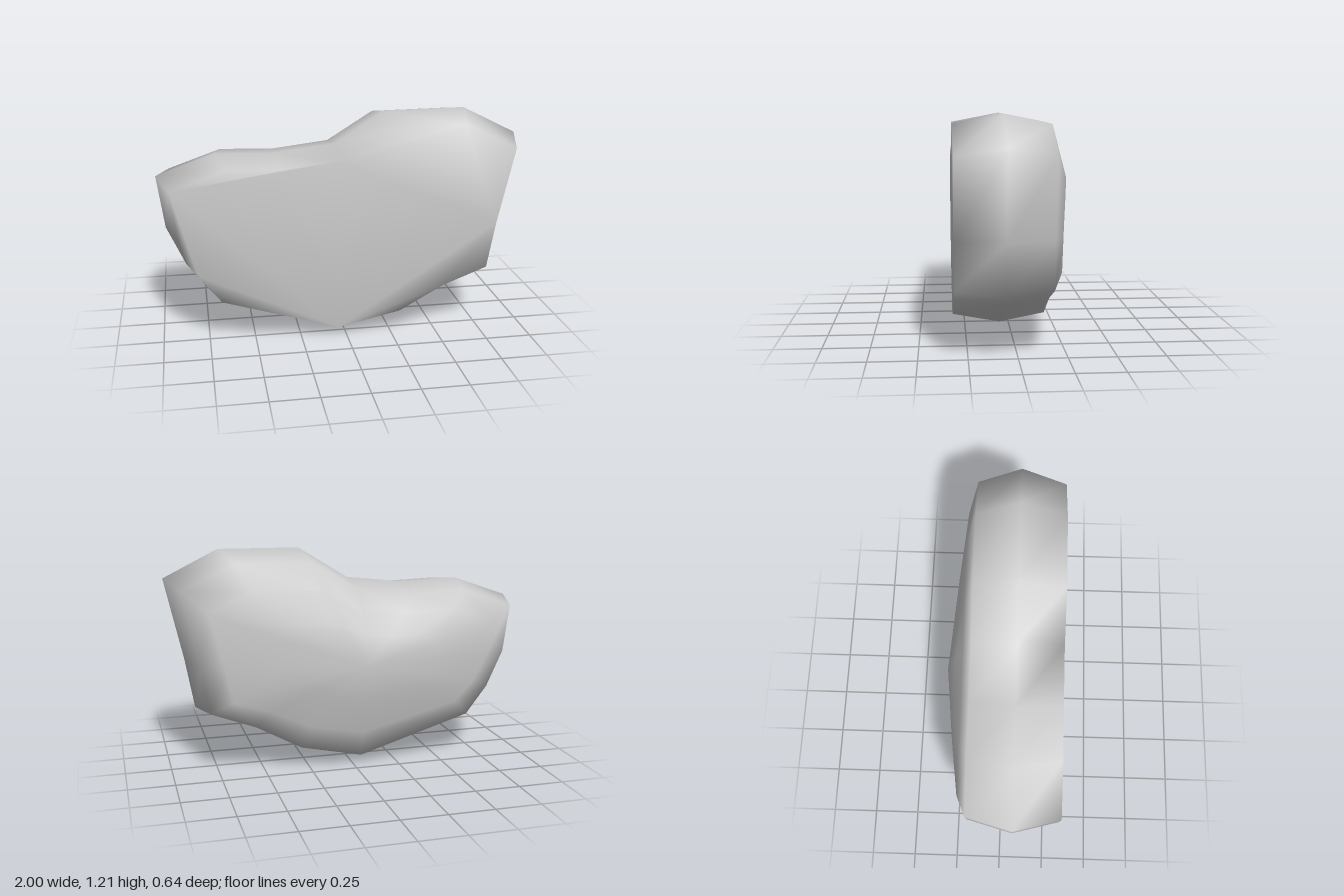
import * as THREE from 'three';

// Widest outline, counter-clockwise as seen from the front
const OUTLINE = [
  [-1, 0.89], [-0.96, 0.6], [-0.86, 0.38], [-0.73, 0.21], [-0.05, 0], [0.32, 0.08],
  [0.59, 0.23], [0.85, 0.33], [0.9, 0.61], [1, 1.06], [0.7, 1.21], [0.25, 1.205],
  [-0.03, 1.03], [-0.37, 0.99], [-0.69, 1.0],
];

// Cross-sections from the flat front to the domed back
const RINGS = [
  { z: 0.32, sx: 0.93, sy: 0.92, cx: 0 },
  { z: 0.07, sx: 1, sy: 1, cx: 0 },
  { z: -0.175, sx: 0.93, sy: 0.92, cx: 0 },
  { z: -0.225, sx: 0.8, sy: 0.67, cx: -0.03 },
  { z: -0.27, sx: 0.46, sy: 0.36, cx: -0.04 },
];
const CENTRE_Y = 0.6;

function rockGeometry() {
  const n = OUTLINE.length;
  const positions = [];
  const index = [];
  for (const { z, sx, sy, cx } of RINGS) {
    for (const [x, y] of OUTLINE) {
      positions.push(cx + (x - cx) * sx, CENTRE_Y + (y - CENTRE_Y) * sy, z);
    }
  }

  // Flat front face
  const front = OUTLINE.map(([x, y]) => new THREE.Vector2(x, y));
  for (const face of THREE.ShapeUtils.triangulateShape(front, [])) index.push(...face);

  // Bevelled sides and back slopes
  for (let r = 0; r < RINGS.length - 1; r++) {
    for (let i = 0; i < n; i++) {
      const j = (i + 1) % n;
      const a = r * n + i, b = r * n + j, c = b + n, d = a + n;
      index.push(a, d, c, a, c, b);
    }
  }

  // Back peak
  const peak = positions.length / 3;
  positions.push(-0.04, CENTRE_Y, -0.32);
  const last = (RINGS.length - 1) * n;
  for (let i = 0; i < n; i++) index.push(last + i, peak, last + (i + 1) % n);

  const geometry = new THREE.BufferGeometry();
  geometry.setAttribute('position', new THREE.Float32BufferAttribute(positions, 3));
  geometry.setIndex(index);
  geometry.computeVertexNormals();
  return geometry;
}

export function createModel() {
  const group = new THREE.Group();
  group.name = 'rock';
  const material = new THREE.MeshStandardMaterial({ color: 0xcccccc });
  const rock = new THREE.Mesh(rockGeometry(), material);
  rock.name = 'boulder';
  group.add(rock);
  return group;
}
